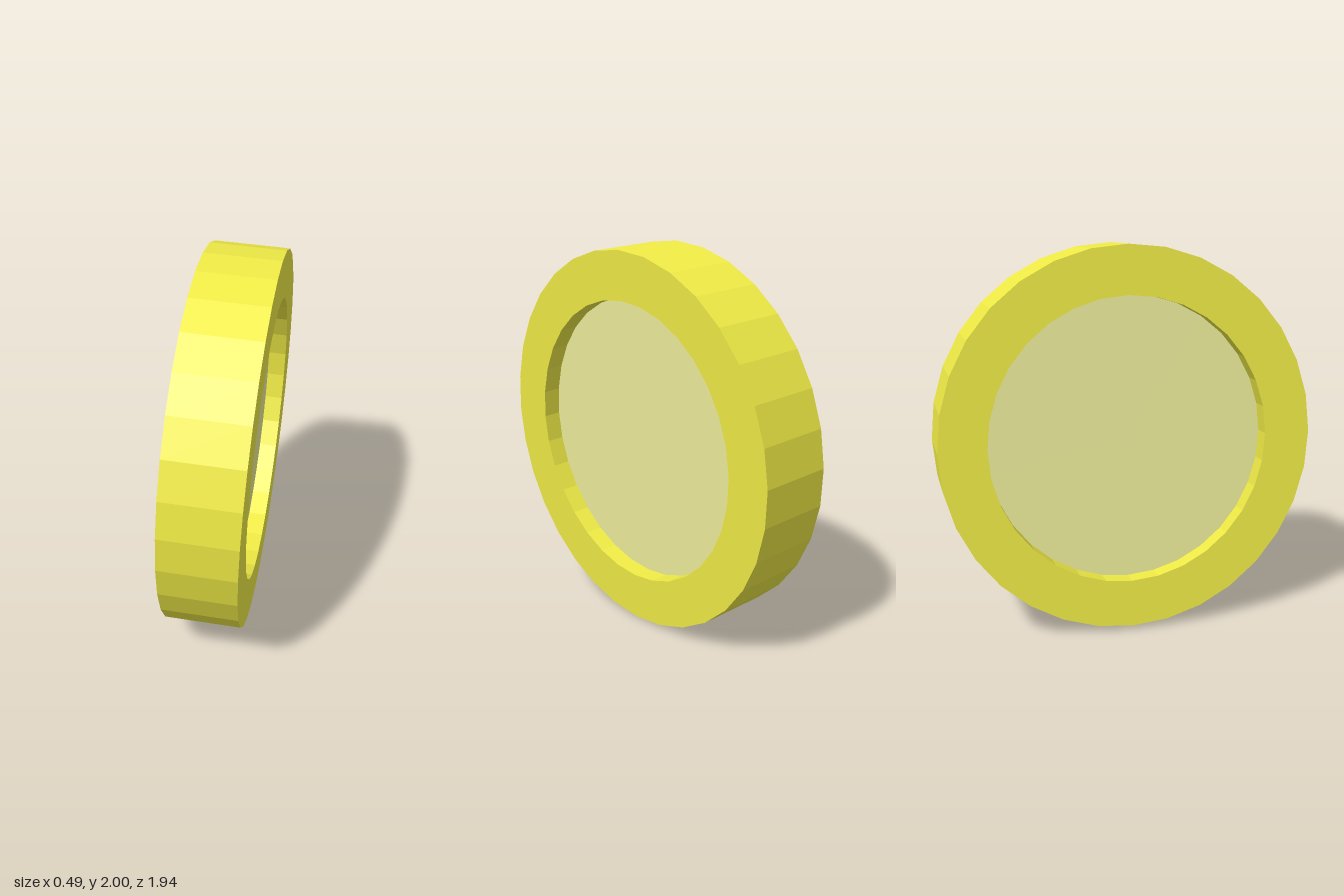
import * as THREE from 'three';

const SIDES = 32;
const R = 0.991;      // outer radius
const HOLE = 0.742;   // recess radius
const H = 0.1925;     // half thickness
const DEPTH = 0.095;  // recess depth on each face
const TILT = 0.054;   // lean towards +x

export function createModel() {
  const model = new THREE.Group();
  model.name = 'coin';

  const rimMaterial = new THREE.MeshStandardMaterial({ color: 0xf0ec46, flatShading: true, side: THREE.DoubleSide });
  const faceMaterial = new THREE.MeshStandardMaterial({ color: 0xeeee9c, flatShading: true });

  // Thick raised rim, including the inner walls of both recesses
  const floor = H - DEPTH;
  const profile = [
    [HOLE, -floor], [HOLE, -H], [R, -H], [R, H], [HOLE, H], [HOLE, floor],
  ].map(([x, y]) => new THREE.Vector2(x, y));
  const rim = new THREE.Mesh(new THREE.LatheGeometry(profile, SIDES), rimMaterial);
  rim.name = 'rim';

  // Paler disc sunk into both sides
  const face = new THREE.Mesh(new THREE.CylinderGeometry(HOLE, HOLE, 2 * floor, SIDES), faceMaterial);
  face.name = 'centreDisc';

  // Stand the disc on edge, slightly narrower in z, then lean it
  for (const mesh of [rim, face]) {
    mesh.geometry.rotateZ(-Math.PI / 2);
    mesh.geometry.scale(1, 1, 0.98);
    model.add(mesh);
  }
  model.rotation.z = -TILT;
  model.position.y = 1;

  const root = new THREE.Group();
  root.name = 'tiltedCoin';
  root.add(model);
  return root;
}
